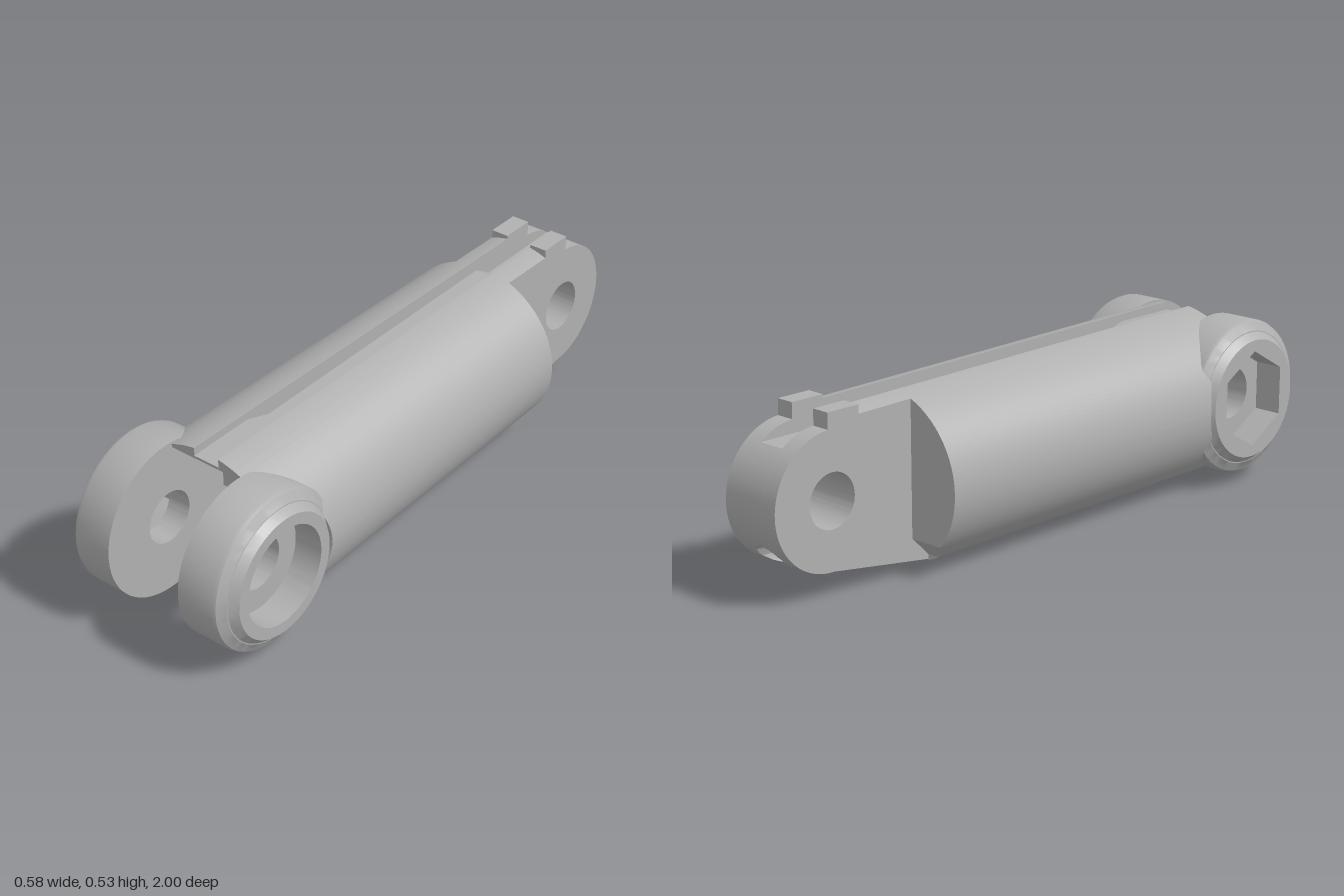
import * as THREE from 'three';
import { toCreasedNormals } from 'three/addons/utils/BufferGeometryUtils.js';

const FORK = { z: 0.76, y: 0.28 };
const TONGUE = { z: -0.8, y: 0.28 };

// Points [z, y] on an arc, angles in degrees
function arc(c, r, from, to, n = 24) {
  return Array.from({ length: n + 1 }, (_, i) => {
    const a = THREE.MathUtils.degToRad(from + ((to - from) * i) / n);
    return [c.z + r * Math.cos(a), c.y + r * Math.sin(a)];
  });
}

// Barrel envelope: slightly tapered ellipse around the z axis
const halfWidth = (z) => 0.277 + 0.015 * z;
function envelope(x, z) {
  const top = 0.529 + 0.013 * z, bottom = 0.002;
  const s = Math.sqrt(Math.max(0, 1 - (x / halfWidth(z)) ** 2));
  const mid = (top + bottom) / 2, h = (top - bottom) / 2;
  return [mid - h * s, mid + h * s];
}

// Half height of the lengthwise cable bore at x
const bore = (x) => Math.sqrt(Math.max(0, 0.05 ** 2 - x * x));

// Extrude a side profile [z, y] from x = a to b, then reshape each vertex by a rule
function slab(profile, a, b, steps, pinHole, rule) {
  const shape = new THREE.Shape(profile.map(([z, y]) => new THREE.Vector2(-z, y)));
  if (pinHole) shape.holes.push(new THREE.Path().absarc(-TONGUE.z, TONGUE.y, 0.08, 0, Math.PI * 2, true));
  const geo = new THREE.ExtrudeGeometry(shape, { depth: b - a, steps, bevelEnabled: false, curveSegments: 40 });
  geo.rotateY(Math.PI / 2).translate(a, 0, 0);
  const p = geo.attributes.position, v = new THREE.Vector3();
  for (let i = 0; i < p.count; i++) {
    rule(v.fromBufferAttribute(p, i));
    p.setXYZ(i, v.x, v.y, v.z);
  }
  return toCreasedNormals(geo, 0.5);
}

// Rules: keep vertices within the barrel, and above or below the bore
function trim(v) {
  const [lo, hi] = envelope(v.x, v.z);
  v.y = Math.min(Math.max(v.y, lo), hi);
}
function aboveBore(v) {
  trim(v);
  v.y = Math.max(v.y, 0.12 + bore(v.x));
}
function belowBore(v) {
  const h = 0.12 - bore(v.x);
  const end = h <= 0.08 ? -0.42 - (h / 0.08) * 0.38 : TONGUE.z - Math.sqrt(0.04 - (TONGUE.y - h) ** 2);
  trim(v);
  v.y = Math.min(v.y, h);
  v.z = Math.max(v.z, end);
}
// Rounded cheek: spread x to the tapered width and stop at the fork eye
function cheekRule(v) {
  const e = (Math.abs(v.x) - 0.125) / 0.875;
  v.x = Math.sign(v.x) * (0.125 + (halfWidth(v.z) - 0.125) * Math.sin((e * Math.PI) / 2));
  trim(v);
  const d = v.y - FORK.y;
  if (Math.abs(d) < 0.2) v.z = Math.min(v.z, FORK.z - Math.sqrt(0.04 - d * d));
}

export function createModel() {
  const model = new THREE.Group();
  model.name = 'hingeLink';
  const metal = new THREE.MeshStandardMaterial({ color: 0xb0b0b0 });
  metal.name = 'grey';
  const add = (geo, name) => {
    const mesh = new THREE.Mesh(geo, metal);
    mesh.name = name;
    model.add(mesh);
    return mesh;
  };

  // Side profiles
  const front = [...arc(FORK, 0.222, 97, 185), [0.45, 0.17]];
  const shoulder = [[0.45, -0.1], [-0.45, -0.1], [-0.45, 0.04], [-0.51, 0.1], [-0.51, 0.6]];
  const shoulderProfile = [[0.735, 0.6], ...front, ...shoulder];
  const tongueProfile = [[0.735, 0.6], ...front, [0.45, -0.1], [-0.42, -0.1], [-0.42, 0],
    ...arc(TONGUE, 0.2, 270, 93, 40), [-0.81, 0.6]];
  const upperProfile = [[0.735, 0.6], ...front, [0.45, 0.12],
    ...arc(TONGUE, 0.2, 233.13, 93, 40), [-0.81, 0.6]];
  const grooveProfile = [[0.735, 0.51], ...front, [0.45, 0.12],
    ...arc(TONGUE, 0.2, 233.13, 126.87, 40),
    [-0.61, 0.44], [-0.54, 0.48], [0.43, 0.48], [0.52, 0.51]];
  const lowerProfile = [[0.45, -0.1], [0.45, 0.12], ...arc(TONGUE, 0.2, 233.13, 270, 16),
    [-0.42, 0], [-0.42, -0.1]];
  const cheekProfile = [[0.735, 0.6], ...arc(FORK, 0.2, 97, 263, 40), [0.68, 0.05], [0.45, 0.03], ...shoulder];

  // Centre web: grooved on top, bored lengthwise below
  add(slab(grooveProfile, -0.043, 0.043, 16, true, aboveBore), 'groovedWeb');
  add(slab(lowerProfile, -0.05, 0.05, 24, false, belowBore), 'boreFloor');

  for (const side of [-1, 1]) {
    const label = side > 0 ? 'left' : 'right';
    const pair = (a, b) => (side > 0 ? [a, b] : [-b, -a]);

    // Barrel and tongue layers
    add(slab(upperProfile, ...pair(0.043, 0.05), 4, true, aboveBore), label + 'GrooveWall');
    add(slab(tongueProfile, ...pair(0.05, 0.1), 4, true, trim), label + 'Tongue');
    add(slab(shoulderProfile, ...pair(0.1, 0.125), 2, false, trim), label + 'Shoulder');
    add(slab(cheekProfile, ...pair(0.125, 1), 24, false, cheekRule), label + 'Cheek');

    // Stop block on the tongue
    add(new THREE.BoxGeometry(0.057, 0.05, 0.11), label + 'StopBlock')
      .position.set(side * 0.0715, 0.502, -0.755);

    // Fork eye: turned shell with a pin bore
    const shell = [[0.16, 0.2], [0.08, 0.2], [0.08, 0.125], [0.24, 0.125], [0.24, 0.24],
      [0.235, 0.252], [0.208, 0.267], [0.205, 0.267], [0.185, 0.29], [0.18, 0.29]]
      .map(([r, x]) => new THREE.Vector2(r, x));
    const eye = new THREE.LatheGeometry(shell, 64).rotateZ((-side * Math.PI) / 2);
    add(toCreasedNormals(eye, 0.5), label + 'ForkEye').position.set(0, FORK.y, FORK.z);

    // Recess ring: round on the left for a bolt head, hexagonal on the right for a nut
    const ring = new THREE.Shape().absarc(0, 0, 0.185, 0, Math.PI * 2);
    const recess = new THREE.Path();
    if (side > 0) recess.absarc(0, 0, 0.15, 0, Math.PI * 2, true);
    else {
      recess.setFromPoints(Array.from({ length: 6 }, (_, i) => {
        const a = (i * Math.PI) / 3;
        return new THREE.Vector2(0.15 * Math.sin(a), 0.15 * Math.cos(a));
      }));
    }
    ring.holes.push(recess);
    const ringGeo = new THREE.ExtrudeGeometry(ring, { depth: 0.09, bevelEnabled: false, curveSegments: 48 });
    ringGeo.rotateY(Math.PI / 2).translate(side > 0 ? 0.2 : -0.29, 0, 0);
    add(toCreasedNormals(ringGeo, 0.5), label + 'RecessRing').position.set(0, FORK.y, FORK.z);
  }
  return model;
}
